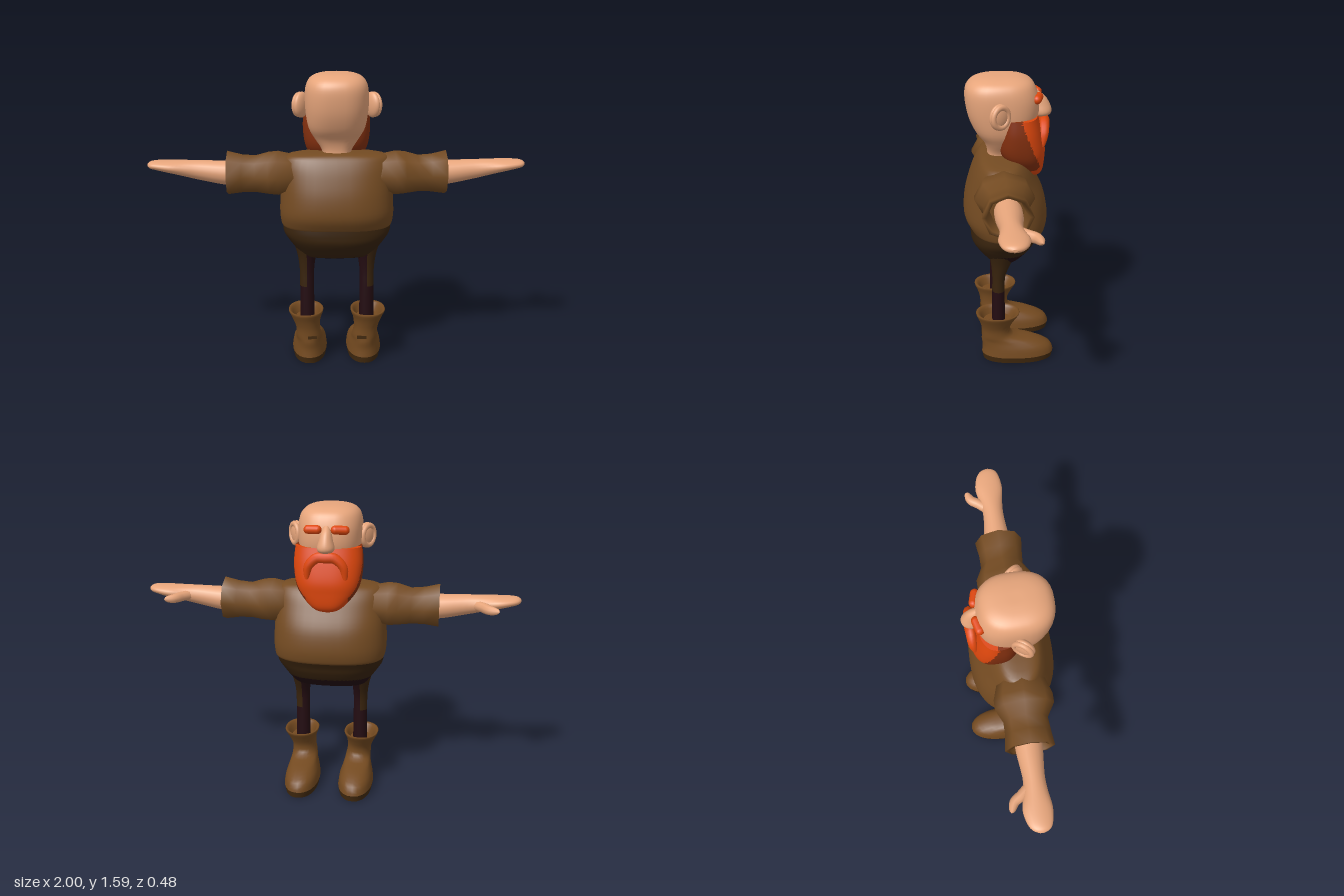
import * as THREE from 'three';

const mat = (name, color, side = THREE.FrontSide) => {
  const m = new THREE.MeshStandardMaterial({ color, side });
  m.name = name;
  return m;
};

// Smooth skin over rounded cross-sections.
// axis 'y' rows: [y, x, z, rx, rz]; axis 'x' rows: [x, z, y, rz, ry].
// pick(x, y, z) returns a material index for each face.
function loft(axis, rows, { n = 28, p = 2, steps = 4, pick = null } = {}) {
  const rings = [];
  for (let i = 0; i < rows.length - 1; i++) {
    const a = rows[Math.max(i - 1, 0)], b = rows[i], c = rows[i + 1], d = rows[Math.min(i + 2, rows.length - 1)];
    for (let s = 0; s < steps; s++) {
      const t = s / steps;
      rings.push(b.map((_, k) => b[k] + 0.5 * t * (c[k] - a[k]
        + t * (2 * a[k] - 5 * b[k] + 4 * c[k] - d[k] + t * (3 * (b[k] - c[k]) + d[k] - a[k])))));
    }
  }
  rings.push(rows[rows.length - 1]);
  const pos = [], faces = [];
  const put = (t, u, v) => (axis === 'y' ? pos.push(u, t, v) : pos.push(t, v, u));
  const ring = ([t, u, v, ru, rv]) => {
    for (let j = 0; j < n; j++) {
      const c = Math.cos(j / n * Math.PI * 2), s = Math.sin(j / n * Math.PI * 2);
      put(t, u + ru * Math.sign(c) * Math.abs(c) ** (2 / p), v + rv * Math.sign(s) * Math.abs(s) ** (2 / p));
    }
  };
  rings.forEach(ring);
  for (let i = 0; i < rings.length - 1; i++) {
    for (let j = 0; j < n; j++) {
      const a = i * n + j, b = i * n + (j + 1) % n;
      faces.push([a, a + n, b], [b, a + n, b + n]);
    }
  }
  // end caps with their own vertices, so their edges stay crisp
  [rings[0], rings[rings.length - 1]].forEach((r, e) => {
    const base = pos.length / 3;
    ring(r);
    put(r[0], r[1], r[2]);
    for (let j = 0; j < n; j++) {
      const a = base + j, b = base + (j + 1) % n;
      faces.push(e ? [base + n, b, a] : [base + n, a, b]);
    }
  });
  const g = new THREE.BufferGeometry();
  g.setAttribute('position', new THREE.Float32BufferAttribute(pos, 3));
  if (pick) {
    const sets = [[], []];
    for (const f of faces) {
      const m = [0, 1, 2].map(k => (pos[f[0] * 3 + k] + pos[f[1] * 3 + k] + pos[f[2] * 3 + k]) / 3);
      sets[pick(...m)].push(...f);
    }
    g.setIndex(sets.flat());
    g.addGroup(0, sets[0].length, 0);
    g.addGroup(sets[0].length, sets[1].length, 1);
  } else g.setIndex(faces.flat());
  g.computeVertexNormals();
  return g;
}

// Tube whose radius follows taper(t)
function taperTube(points, radius, taper) {
  const curve = new THREE.CatmullRomCurve3(points.map(q => new THREE.Vector3(...q)));
  const seg = 28, rad = 10, g = new THREE.TubeGeometry(curve, seg, radius, rad);
  const P = g.attributes.position, v = new THREE.Vector3();
  for (let i = 0; i <= seg; i++) {
    const c = curve.getPointAt(i / seg), k = taper(i / seg);
    for (let j = 0; j <= rad; j++) {
      const id = i * (rad + 1) + j;
      v.fromBufferAttribute(P, id).sub(c).multiplyScalar(k).add(c);
      P.setXYZ(id, v.x, v.y, v.z);
    }
  }
  return g;
}

export function createModel() {
  const skin = mat('skin', 0xe8a67c);
  const hair = mat('ginger hair', 0xdf470d);
  const darkHair = mat('dark ginger hair', 0x84300f);
  const cloth = mat('brown cloth', 0x744b22, THREE.DoubleSide);
  const leather = mat('boot leather', 0x744a20, THREE.DoubleSide);
  const soleMat = mat('dark sole', 0x432a0f);
  const trouser = mat('dark brown trousers', 0x38230d);
  const under = mat('dark plum trousers', 0x230c11);

  const model = new THREE.Group();
  model.name = 'beardedMan';
  const add = (parent, name, geo, material) => {
    const m = new THREE.Mesh(geo, material);
    m.name = name;
    parent.add(m);
    return m;
  };

  // Head, beard and face, looking towards -z
  add(model, 'head', loft('y', [
    [1.12, 0, 0.05, 0.075, 0.07], [1.18, 0, 0.04, 0.078, 0.073], [1.24, 0, 0.03, 0.115, 0.1],
    [1.3, 0, 0.03, 0.148, 0.145], [1.38, 0, 0.03, 0.163, 0.18], [1.46, 0, 0.035, 0.167, 0.19],
    [1.52, 0, 0.042, 0.16, 0.181], [1.557, 0, 0.042, 0.139, 0.157], [1.577, 0, 0.042, 0.1, 0.115],
    [1.585, 0, 0.042, 0.05, 0.06], [1.586, 0, 0.042, 0.01, 0.01]], { n: 36, p: 2.55 }), skin);
  // the beard darkens behind a slanting line on the cheeks
  add(model, 'beard', loft('y', [
    [1.048, 0, -0.13, 0.02, 0.012], [1.06, 0, -0.125, 0.06, 0.038], [1.09, 0, -0.11, 0.1, 0.068],
    [1.15, 0, -0.08, 0.15, 0.105], [1.21, 0, -0.065, 0.172, 0.122], [1.3, 0, -0.055, 0.18, 0.115],
    [1.385, 0, -0.05, 0.172, 0.098]], {
    n: 72, p: 2.6, steps: 8,
    pick: (x, y, z) => (z > -0.06 || (Math.abs(x) > 0.11 && z > -0.055 - (1.38 - y) * 0.4) ? 1 : 0),
  }), [hair, darkHair]);
  add(model, 'nose', loft('y', [
    [1.365, 0, -0.165, 0.015, 0.02], [1.375, 0, -0.17, 0.038, 0.042], [1.395, 0, -0.17, 0.045, 0.052],
    [1.43, 0, -0.165, 0.036, 0.047], [1.47, 0, -0.15, 0.026, 0.038], [1.5, 0, -0.135, 0.012, 0.015]],
  { n: 16 }), skin);
  add(model, 'moustache', taperTube([
    [-0.1, 1.22, -0.165], [-0.088, 1.3, -0.177], [-0.045, 1.342, -0.18], [0, 1.345, -0.183],
    [0.045, 1.342, -0.18], [0.088, 1.3, -0.177], [0.1, 1.22, -0.165]],
  0.028, t => Math.sin(Math.PI * t) ** 0.4), hair);

  // Shirt body and hips
  add(model, 'shirt', loft('y', [
    [0.77, 0, 0.01, 0.288, 0.19], [0.785, 0, 0.01, 0.298, 0.203], [0.85, 0, 0.02, 0.305, 0.222],
    [0.95, 0, 0.025, 0.3, 0.21], [1.05, 0, 0.035, 0.295, 0.172], [1.12, 0, 0.04, 0.288, 0.138],
    [1.16, 0, 0.045, 0.25, 0.105], [1.175, 0, 0.045, 0.09, 0.07]], { n: 40, p: 2.5 }), cloth);
  add(model, 'hips', loft('y', [
    [0.592, 0, 0.035, 0.14, 0.05], [0.605, 0, 0.035, 0.19, 0.09], [0.65, 0, 0.03, 0.226, 0.14],
    [0.7, 0, 0.03, 0.262, 0.173], [0.74, 0, 0.025, 0.286, 0.183], [0.79, 0, 0.01, 0.292, 0.195]],
  { n: 64, p: 2.4, steps: 8, pick: (x, y, z) => (y < 0.602 || (y < 0.66 && z < 0.04) ? 1 : 0) }), [trouser, under]);

  // Everything that comes in pairs
  for (const side of [1, -1]) {
    const half = new THREE.Group();
    half.name = side > 0 ? 'leftSide' : 'rightSide';
    half.scale.x = side;
    model.add(half);

    // ear: domed back with a rim round the hollow front
    const ear = new THREE.Group();
    ear.name = 'ear';
    ear.position.set(0.2, 1.42, 0.045);
    ear.rotation.y = 0.6;
    half.add(ear);
    const dome = add(ear, 'earBack', new THREE.SphereGeometry(1, 24, 16), skin);
    dome.scale.set(0.027, 0.067, 0.058);
    dome.position.x = -0.02;
    const rim = add(ear, 'earRim', new THREE.TorusGeometry(0.045, 0.014, 10, 28), skin);
    rim.rotation.y = Math.PI / 2;
    rim.position.x = -0.006;
    rim.scale.y = 1.12;

    const brow = add(half, 'eyebrow', new THREE.CapsuleGeometry(0.023, 0.05, 5, 12), hair);
    brow.position.set(0.07, 1.48, -0.145);
    brow.rotation.set(0, -0.25, Math.PI / 2 - 0.05);

    // octagonal sleeve with a turned-in cuff
    add(half, 'sleeve', loft('x', [
      [0.15, 0.04, 1.05, 0.1, 0.085], [0.24, 0.04, 1.055, 0.128, 0.105], [0.31, 0.04, 1.055, 0.15, 0.12],
      [0.36, 0.04, 1.055, 0.15, 0.115],
      [0.43, 0.035, 1.05, 0.112, 0.1], [0.5, 0.037, 1.053, 0.115, 0.103], [0.578, 0.035, 1.057, 0.125, 0.118],
      [0.578, 0.035, 1.057, 0.105, 0.1], [0.5, 0.035, 1.055, 0.085, 0.083]], { n: 8, steps: 1 }), cloth);
    add(half, 'arm', loft('x', [
      [0.48, 0.032, 1.055, 0.068, 0.065], [0.58, 0.03, 1.055, 0.068, 0.065], [0.72, 0.03, 1.07, 0.055, 0.053],
      [0.8, 0.028, 1.08, 0.06, 0.044], [0.88, 0.025, 1.09, 0.073, 0.034], [0.95, 0.027, 1.098, 0.062, 0.025],
      [0.985, 0.03, 1.1, 0.042, 0.018], [1, 0.03, 1.1, 0.012, 0.006]], { n: 20 }), skin);
    add(half, 'thumb', taperTube([
      [0.76, 1.075, 0.01], [0.805, 1.075, -0.04], [0.835, 1.073, -0.08], [0.885, 1.072, -0.1]],
    0.027, t => Math.sqrt(Math.max(0, 1 - t ** 5))), skin);

    add(half, 'leg', loft('y', [
      [0.24, 0.163, 0.065, 0.04, 0.036], [0.43, 0.163, 0.065, 0.038, 0.034],
      [0.52, 0.163, 0.062, 0.039, 0.036], [0.6, 0.163, 0.05, 0.05, 0.055], [0.67, 0.165, 0.04, 0.07, 0.08]],
    { n: 16, pick: (x, y) => (y < 0.43 || x < 0.165 ? 1 : 0) }), [trouser, under]);

    // boot with flared, hollow top, dark sole and a small heel patch
    add(half, 'boot', loft('y', [
      [0.035, 0.152, -0.041, 0.097, 0.2], [0.08, 0.152, -0.033, 0.09, 0.188],
      [0.12, 0.153, 0.012, 0.076, 0.148], [0.15, 0.155, 0.07, 0.07, 0.088], [0.2, 0.16, 0.08, 0.066, 0.08],
      [0.25, 0.167, 0.075, 0.078, 0.098], [0.293, 0.17, 0.07, 0.096, 0.12],
      [0.29, 0.17, 0.07, 0.08, 0.1], [0.25, 0.167, 0.072, 0.06, 0.075]], { n: 24, p: 2.2, steps: 3 }), leather);
    add(half, 'sole', loft('y', [
      [0, 0.152, -0.04, 0.09, 0.192], [0.035, 0.152, -0.041, 0.097, 0.2]], { n: 24, p: 2.2, steps: 2 }), soleMat);
    add(half, 'heelPatch', new THREE.BoxGeometry(0.05, 0.016, 0.008), soleMat).position.set(0.135, 0.156, 0.156);
  }
  return model;
}
